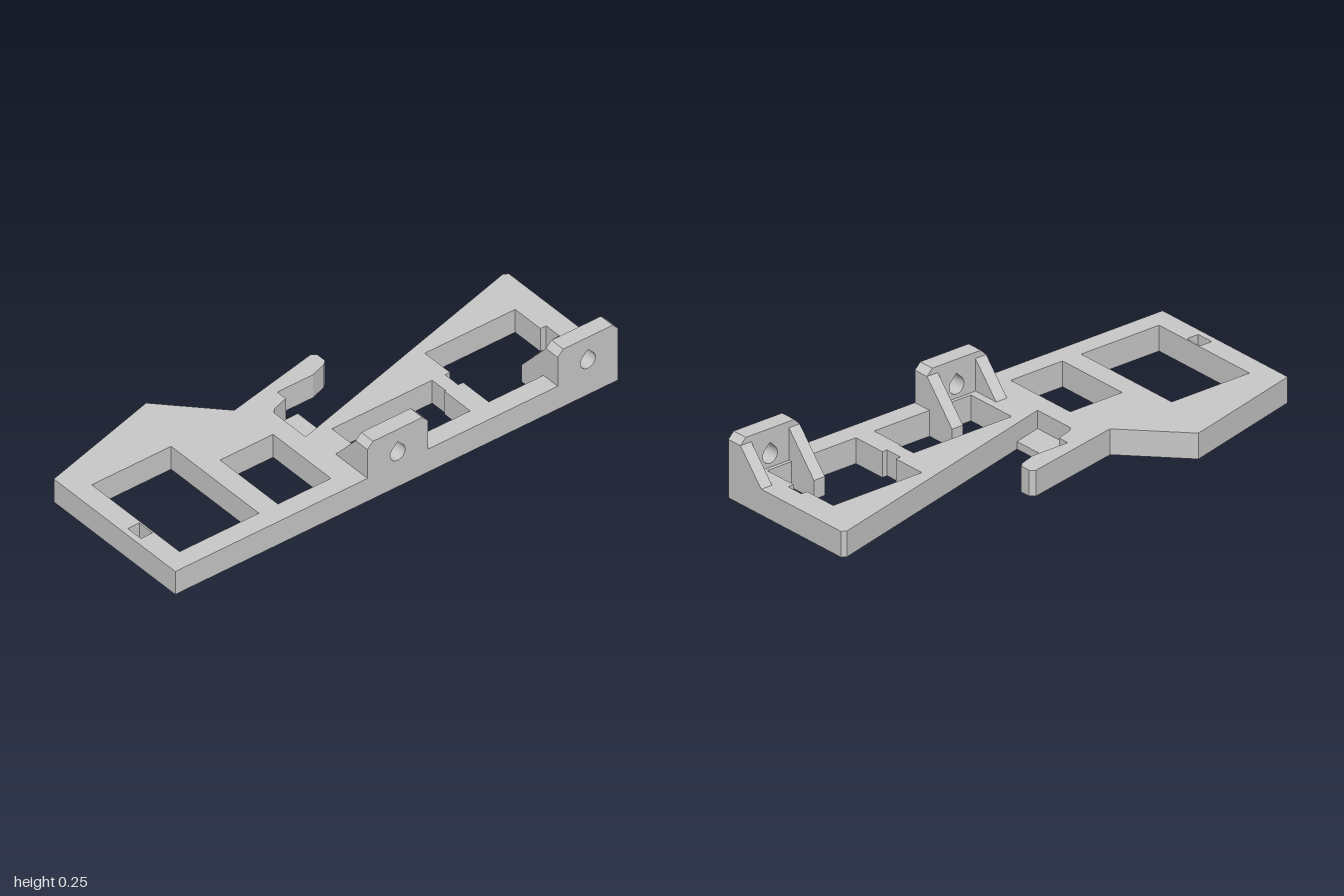
import * as THREE from 'three';

const gray = new THREE.MeshStandardMaterial({ color: 0xc8c8c8 });
gray.name = 'plain gray';

const FRONT = 0.415;     // front face of the frame
const THICK = 0.102;     // frame thickness
const BRACKET_Z = 0.348; // rear face of the upright plates

// plan points are [x, z], counter-clockwise seen from above; the slab is extruded up from y = 0
const planPoints = (pts) => pts.map(([x, z]) => new THREE.Vector2(x, -z));

function slab(name, outline, holes, height) {
  const shape = new THREE.Shape(planPoints(outline));
  holes.forEach((h) => shape.holes.push(new THREE.Path(planPoints(h))));
  const geo = new THREE.ExtrudeGeometry(shape, { depth: height, bevelEnabled: false });
  geo.rotateX(-Math.PI / 2);
  const mesh = new THREE.Mesh(geo, gray);
  mesh.name = name;
  return mesh;
}

const rect = (x0, x1, z0, z1) => [[x0, z0], [x1, z0], [x1, z1], [x0, z1]];

// upright plate with clipped top corners and a teardrop hole
function bracketPlate(x0, x1) {
  const top = 0.255, c = 0.025, cx = (x0 + x1) / 2, cy = 0.152, r = 0.034;
  const shape = new THREE.Shape([
    [x0, THICK], [x1, THICK], [x1, top - c], [x1 - c, top], [x0 + c, top], [x0, top - c],
  ].map(([x, y]) => new THREE.Vector2(x, y)));
  const hole = new THREE.Path();
  hole.absarc(cx, cy, r, Math.PI * 0.75, Math.PI * 2.25, false);
  hole.lineTo(cx, cy + r * Math.SQRT2);
  hole.closePath();
  shape.holes.push(hole);
  const geo = new THREE.ExtrudeGeometry(shape, {
    depth: FRONT - BRACKET_Z, bevelEnabled: false, curveSegments: 20,
  });
  geo.translate(0, 0, BRACKET_Z);
  const mesh = new THREE.Mesh(geo, gray);
  mesh.name = 'bracketPlate';
  return mesh;
}

// sloping rib behind a plate; profile points are [z, y]
function gusset(x0, x1, profile) {
  const shape = new THREE.Shape(profile.map(([z, y]) => new THREE.Vector2(-z, y)));
  const geo = new THREE.ExtrudeGeometry(shape, { depth: x1 - x0, bevelEnabled: false });
  geo.rotateY(Math.PI / 2);
  geo.translate(x0, 0, 0);
  const mesh = new THREE.Mesh(geo, gray);
  mesh.name = 'gusset';
  return mesh;
}

export function createModel() {
  const model = new THREE.Group();
  model.name = 'mountingFrame';

  // main frame with spring arm, wedge slot and openings
  const outline = [
    [-1, FRONT], [1, FRONT], [1, -0.205], [0.98, -0.215], [-0.152, 0.09],
    [-0.152, -0.09], [-0.135, -0.107], [-0.068, -0.128], [-0.068, -0.176],
    [0.092, -0.176], [0.16, -0.198], [0.178, -0.214], [0.178, -0.258],
    [0.16, -0.273], [-0.253, -0.188], [-0.47, -0.415], [-1, -0.273],
  ];
  const holes = [
    rect(-0.916, -0.558, -0.163, 0.334),
    rect(-0.975, -0.923, 0.115, 0.189),
    rect(-0.472, -0.233, 0.007, 0.334),
    [[-0.05, 0.111], [0.402, 0.111], [0.402, 0.189], [0.396, 0.189], [0.396, 0.334], [-0.05, 0.334]],
    [[0.48, -0.028], [0.888, -0.028], [0.888, 0.115], [0.914, 0.115], [0.914, 0.189],
      [0.888, 0.189], [0.888, 0.334], [0.48, 0.334], [0.48, 0.189], [0.458, 0.189],
      [0.458, 0.115], [0.48, 0.115]],
  ];
  model.add(slab('frame', outline, holes, THICK));

  // thin floor bridging the root of the slot
  model.add(slab('slotFloor', [
    [-0.152, 0.09], [-0.03, 0.057], [-0.03, -0.107], [-0.135, -0.107], [-0.152, -0.09],
  ], [], 0.03));

  // two upright brackets, each with a short rib on the frame and a deep one in the opening
  const shortRib = [[BRACKET_Z, THICK], [BRACKET_Z, 0.23], [0.234, THICK]];
  const deepRib = [[0.334, 0], [0.334, THICK], [BRACKET_Z, THICK], [BRACKET_Z, 0.23], [0.21, 0.075], [0.21, 0]];
  [
    { x0: -0.132, x1: 0.141, left: deepRib, right: shortRib },
    { x0: 0.727, x1: 1, left: shortRib, right: deepRib },
  ].forEach(({ x0, x1, left, right }) => {
    const bracket = new THREE.Group();
    bracket.name = 'bracket';
    const w = 0.05;
    bracket.add(bracketPlate(x0, x1), gusset(x0, x0 + w, right), gusset(x1 - w, x1, left));
    model.add(bracket);
  });

  return model;
}
